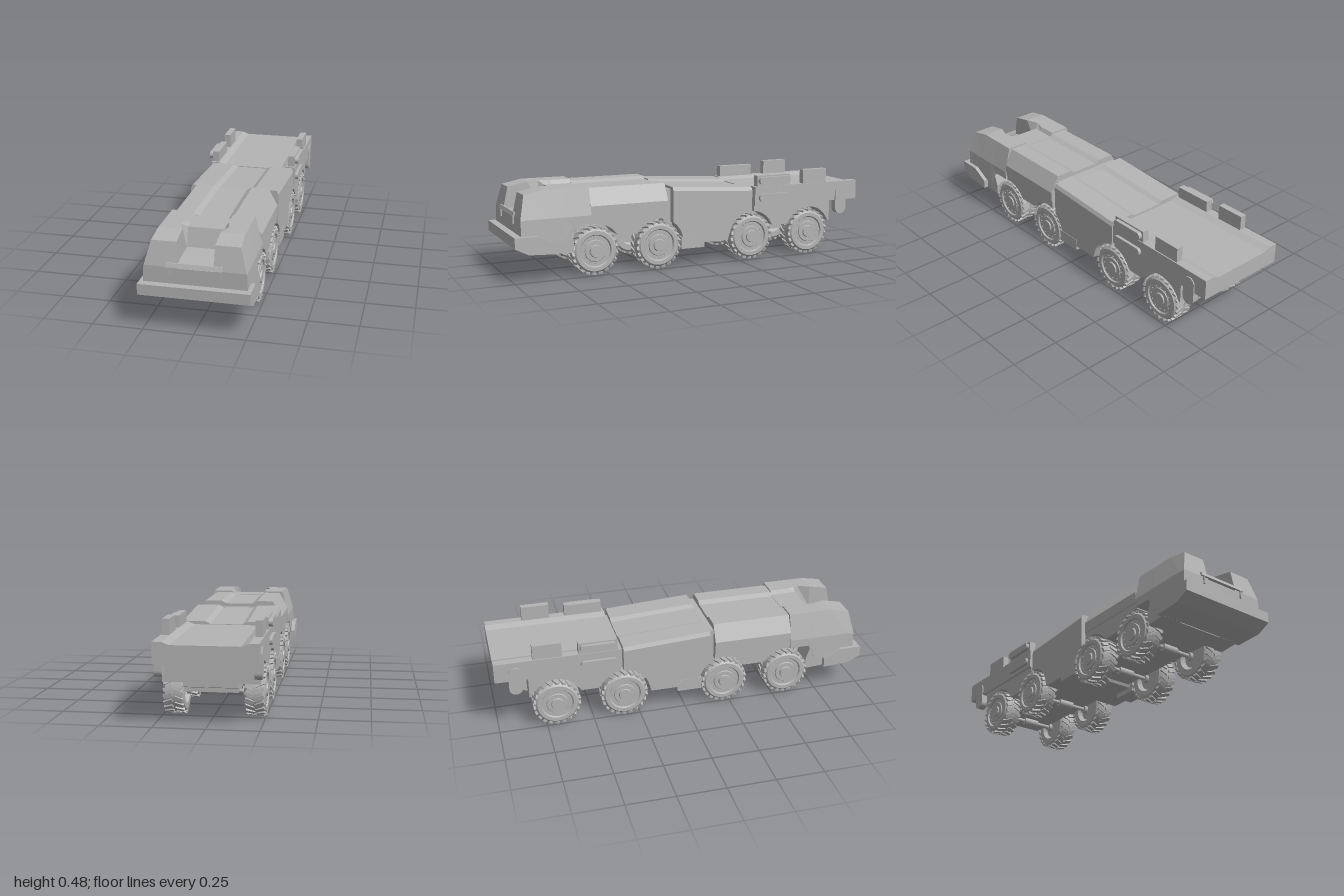
import * as THREE from 'three';
import { mergeGeometries, toCreasedNormals } from 'three/addons/utils/BufferGeometryUtils.js';

const WHEEL_Z = [0.572, 0.22, -0.33, -0.69], AXLE_Y = 0.127;

export function createModel() {
  const root = new THREE.Group();
  root.name = 'heavyTruck';
  const grey = new THREE.MeshStandardMaterial({ color: 0xb4b4b4 });
  grey.name = 'plainGrey';

  const add = (name, geometry, parent = root) => {
    const m = new THREE.Mesh(geometry, grey);
    m.name = name;
    parent.add(m);
  };
  const box = (name, x0, x1, y0, y1, z0, z1) =>
    add(name, new THREE.BoxGeometry(x1 - x0, y1 - y0, z1 - z0)
      .translate((x0 + x1) / 2, (y0 + y1) / 2, (z0 + z1) / 2));
  const bothSides = (name, x0, x1, ...rest) => {
    box(name + 'Left', x0, x1, ...rest);
    box(name + 'Right', -x1, -x0, ...rest);
  };

  // Side shape in (z, y), extruded from x0 to x1
  const extrudeSide = (name, shape, x0, x1) => {
    const g = new THREE.ExtrudeGeometry(shape, { depth: x1 - x0, bevelEnabled: false, curveSegments: 8 });
    add(name, g.rotateY(-Math.PI / 2).translate(x1, 0, 0));
  };
  const prism = (name, points, x0, x1) =>
    extrudeSide(name, new THREE.Shape(points.map(p => new THREE.Vector2(...p))), x0, x1);

  // Hull through half cross-sections [z, [[x, y]...]], rear to front, mirrored in x
  const hull = (name, sections) => {
    const loops = sections.map(([z, half]) => [
      ...half.map(([x, y]) => new THREE.Vector3(x, y, z)),
      ...half.slice().reverse().map(([x, y]) => new THREE.Vector3(-x, y, z)),
    ]);
    const v = [], n = loops[0].length;
    const tri = (...ps) => ps.forEach(p => v.push(p.x, p.y, p.z));
    for (let s = 0; s + 1 < loops.length; s++) {
      for (let i = 0; i < n; i++) {
        const j = (i + 1) % n, A = loops[s], B = loops[s + 1];
        tri(A[i], A[j], B[j]);
        tri(A[i], B[j], B[i]);
      }
    }
    const cap = (loop, front) => {
      const flat = loop.map(p => new THREE.Vector2(p.x, p.y));
      for (const [a, b, c] of THREE.ShapeUtils.triangulateShape(flat, [])) {
        const up = (flat[b].x - flat[a].x) * (flat[c].y - flat[a].y) - (flat[b].y - flat[a].y) * (flat[c].x - flat[a].x) > 0;
        if (up === front) tri(loop[a], loop[b], loop[c]);
        else tri(loop[a], loop[c], loop[b]);
      }
    };
    cap(loops[0], false);
    cap(loops[loops.length - 1], true);
    const g = new THREE.BufferGeometry();
    g.setAttribute('position', new THREE.Float32BufferAttribute(v, 3));
    g.computeVertexNormals();
    add(name, g);
  };

  // Lower body whose underside rises over each wheel
  const skirt = (name, z0, z1, bottom, top, halfWidth) => {
    const pts = [[z0, top], [z1, top]], n = 48, r = 0.14;
    for (let i = 0; i <= n; i++) {
      const z = z1 + (z0 - z1) * i / n;
      let y = bottom;
      for (const w of WHEEL_Z) {
        const d = Math.abs(z - w);
        if (d < r) y = Math.max(y, AXLE_Y + Math.sqrt(r * r - d * d));
      }
      pts.push([z, y]);
    }
    prism(name, pts, -halfWidth, halfWidth);
  };

  // Twin cab with a sunken bay in the middle
  const cabRear = [[0.245, 0.27], [0.245, 0.315], [0.21, 0.457], [0.1, 0.457], [0.088, 0.435]];
  hull('cab', [
    [0.595, cabRear],
    [0.7, cabRear],
    [0.74, [[0.25, 0.19], [0.246, 0.315], [0.21, 0.457], [0.112, 0.457], [0.09, 0.435]]],
    [0.765, [[0.25, 0.19], [0.246, 0.315], [0.21, 0.457], [0.115, 0.457], [0.09, 0.34]]],
    [0.83, [[0.25, 0.19], [0.246, 0.315], [0.21, 0.457], [0.092, 0.457], [0.09, 0.336]]],
    [0.935, [[0.25, 0.19], [0.246, 0.315], [0.213, 0.436], [0.092, 0.436], [0.09, 0.325]]],
    [0.962, [[0.252, 0.19], [0.247, 0.312], [0.245, 0.318], [0.092, 0.318], [0.09, 0.314]]],
  ]);
  prism('bumper', [[1, 0.235], [0.88, 0.235], [0.79, 0.187], [0.79, 0.138], [0.93, 0.145], [1, 0.18]], -0.27, 0.27);
  prism('cabSill', [[0.8, 0.19], [0.71, 0.25], [0.69, 0.19], [0.69, 0.13], [0.8, 0.138]], -0.245, 0.245);

  // Front guard bracket
  prism('guardBar', [[0.955, 0.32], [0.972, 0.32], [0.964, 0.34], [0.955, 0.34]], -0.138, 0.135);
  bothSides('guardLeg', 0.118, 0.124, 0.28, 0.325, 0.955, 0.97);

  // Engine cover
  const cover = [[0.24, 0.3], [0.24, 0.36], [0.192, 0.448], [0.102, 0.448], [0.075, 0.433]];
  hull('engineCover', [[0.17, cover], [0.595, cover]]);
  skirt('frontFender', 0.17, 0.6, 0.2, 0.305, 0.235);
  box('frontNeck', -0.2, 0.2, 0.2, 0.415, 0.13, 0.18);

  // Middle body, sloping down to the rear
  const middle = top => [[0.24, 0.285], [0.24, top - 0.02], [0.23, top], [0.11, top], [0.085, top - 0.013]];
  hull('middleBody', [[-0.33, middle(0.4)], [0.14, middle(0.428)]]);
  skirt('middleSide', -0.33, 0.14, 0.12, 0.29, 0.24);
  bothSides('sideTank', 0.14, 0.242, 0.095, 0.16, -0.04, 0.095);

  // Rear deck
  box('rearNeck', -0.2, 0.2, 0.27, 0.375, -0.36, -0.32);
  const deck = [[0.246, 0.295], [0.246, 0.4], [0.2, 0.4], [0.165, 0.386]];
  hull('rearDeck', [[-1, deck], [-0.345, deck]]);
  skirt('rearFender', -0.83, -0.345, 0.18, 0.3, 0.235);
  prism('rearFrameBox', [[-0.8, 0.3], [-0.855, 0.3], [-0.855, 0.165], [-0.8, 0.15]], -0.13, 0.13);

  // Deck boxes, side canisters and rear pockets
  bothSides('deckBox', 0.205, 0.24, 0.395, 0.477, -0.8, -0.65);
  bothSides('deckLocker', 0.205, 0.242, 0.395, 0.46, -0.565, -0.36);
  const pill = (z0, z1, y0, y1) => {
    const s = new THREE.Shape(), r = Math.min(z1 - z0, y1 - y0) / 2 - 0.0005;
    s.absarc(z1 - r, y0 + r, r, -Math.PI / 2, 0);
    s.absarc(z1 - r, y1 - r, r, 0, Math.PI / 2);
    s.absarc(z0 + r, y1 - r, r, Math.PI / 2, Math.PI);
    s.absarc(z0 + r, y0 + r, r, Math.PI, Math.PI * 1.5);
    return s;
  };
  for (const [name, x0, x1, ...area] of [
    ['upperCanister', 0.235, 0.262, -0.558, -0.367, 0.412, 0.452],
    ['lowerCanister', 0.235, 0.262, -0.558, -0.367, 0.318, 0.36],
    ['rearPocket', 0.215, 0.252, -0.93, -0.86, 0.217, 0.37],
  ]) {
    extrudeSide(name + 'Left', pill(...area), x0, x1);
    extrudeSide(name + 'Right', pill(...area), -x1, -x0);
  }

  // Chassis
  box('chassis', -0.128, 0.128, 0.135, 0.3, -0.82, 0.8);

  // Wheel: lathed tyre and rim, with nuts and a chevron tread
  const profile = [[0, -0.03], [0.06, -0.03], [0.075, -0.05], [0.105, -0.05], [0.117, -0.038], [0.119, 0],
    [0.117, 0.038], [0.105, 0.05], [0.085, 0.05], [0.08, 0.042], [0.058, 0.042], [0.055, 0.047],
    [0.033, 0.047], [0.03, 0.054], [0, 0.054]].map(p => new THREE.Vector2(...p));
  const tyre = toCreasedNormals(new THREE.LatheGeometry(profile, 40), 0.6);
  const lugs = [], bolts = [];
  for (let i = 0; i < 22; i++) {
    for (const side of [-1, 1]) {
      const a = (i + (side > 0 ? 0.5 : 0)) / 22 * Math.PI * 2;
      lugs.push(new THREE.BoxGeometry(0.019, 0.046, 0.012).rotateZ(side * 0.4)
        .translate(0, side * 0.025, 0.119).rotateY(a));
    }
  }
  for (let i = 0; i < 12; i++) {
    bolts.push(new THREE.CylinderGeometry(0.0035, 0.0035, 0.008, 6)
      .translate(0.066, 0.043, 0).rotateY(i / 12 * Math.PI * 2));
  }
  const tread = mergeGeometries(lugs), nuts = mergeGeometries(bolts);

  WHEEL_Z.forEach((z, i) => {
    for (const [side, x] of [[1, 0.188], [-1, -0.202]]) {
      const wheel = new THREE.Group();
      wheel.name = (side > 0 ? 'leftWheel' : 'rightWheel') + (i + 1);
      add('tyreAndRim', tyre, wheel);
      add('tread', tread, wheel);
      add('wheelNuts', nuts, wheel);
      wheel.rotation.z = -side * Math.PI / 2;
      wheel.position.set(x, AXLE_Y, z);
      root.add(wheel);
    }
    // Axle with differential and hub ends
    const rod = (name, r, length, x) => add(name + (i + 1),
      new THREE.CylinderGeometry(r, r, length, 14).rotateZ(Math.PI / 2).translate(x, 0.118, z));
    rod('axle', 0.011, 0.3, -0.007);
    rod('differential', 0.021, 0.09, -0.007);
    rod('leftHub', 0.022, 0.02, 0.13);
    rod('rightHub', 0.022, 0.02, -0.144);
  });
  return root;
}
